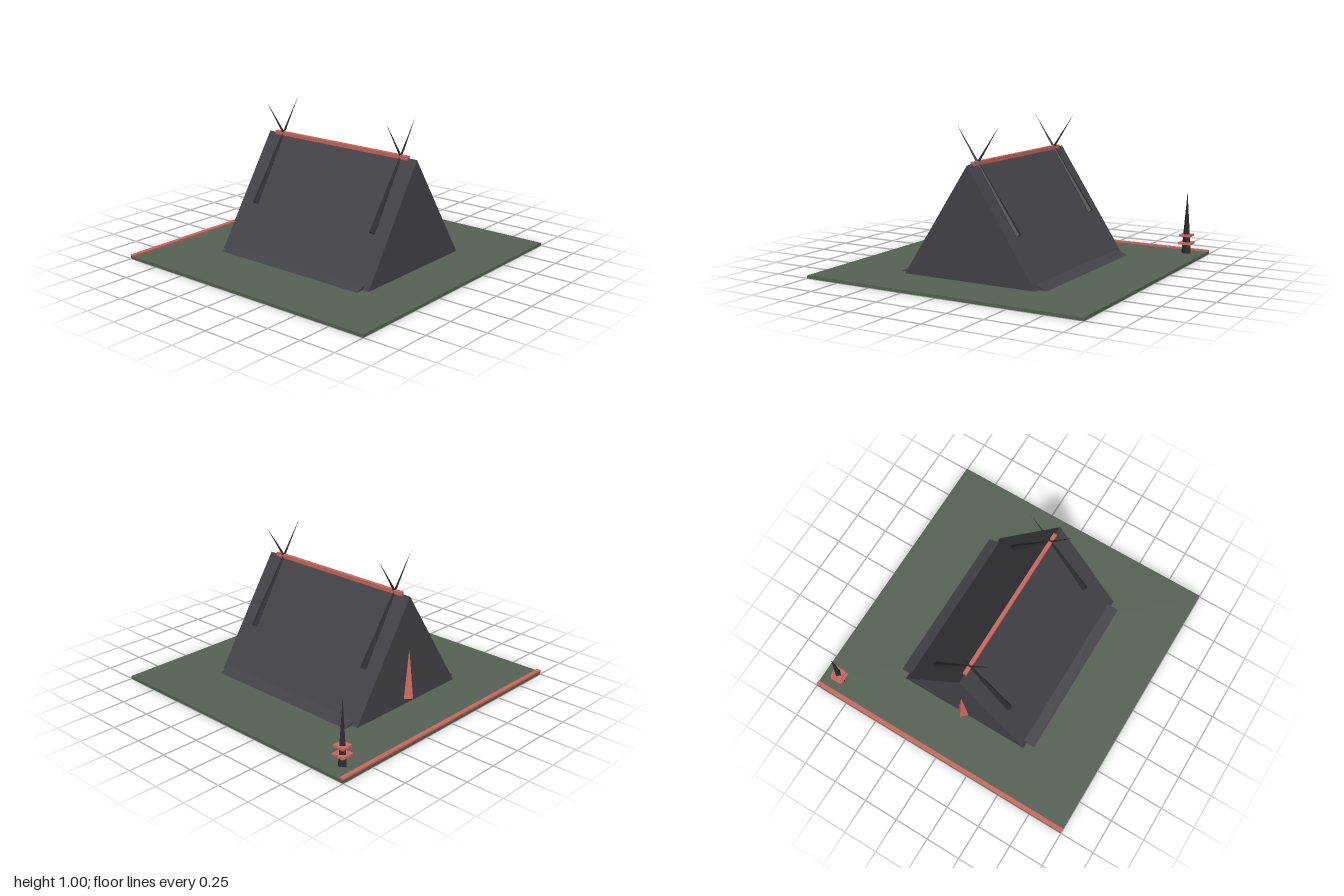
import * as THREE from 'three';

const mat = (name, color) => {
  const m = new THREE.MeshStandardMaterial({ color, flatShading: true });
  m.name = name;
  return m;
};

export function createModel() {
  const group = new THREE.Group();
  group.name = 'tentCamp';
  const grass = mat('mossGreen', 0x566154);
  const canvas = mat('charcoalCanvas', 0x434247);
  const dark = mat('darkWood', 0x2a2b2d);
  const red = mat('coralRed', 0xc8685e);

  const add = (name, geo, material, x = 0, y = 0, z = 0) => {
    const mesh = new THREE.Mesh(geo, material);
    mesh.name = name;
    mesh.position.set(x, y, z);
    group.add(mesh);
    return mesh;
  };

  // Solid with a constant x-y cross-section, centred along z
  const prism = (points, depth) => {
    const shape = new THREE.Shape(points.map(([x, y]) => new THREE.Vector2(x, y)));
    return new THREE.ExtrudeGeometry(shape, { depth, bevelEnabled: false }).translate(0, 0, -depth / 2);
  };

  // Ground slab with its rear border
  add('ground', new THREE.BoxGeometry(2, 0.02, 2), grass, 0, 0.01, 0);
  add('rearBorder', new THREE.BoxGeometry(2, 0.012, 0.03), red, 0, 0.025, -0.985);

  // Tent body and ridge beam
  add('tentBody', prism([[-0.485, 0.02], [0.485, 0.02], [0, 0.762]], 1.268), canvas);
  add('ridgeBeam', new THREE.BoxGeometry(0.026, 0.026, 1.14), red, 0, 0.763, 0);

  // Ground skirts along both long sides, and crossed poles at both ends
  for (const side of [-1, 1]) {
    const skirt = [[0.44, 0.021], [0.545, 0.021], [0.465, 0.052]];
    const points = side > 0 ? skirt : skirt.map(([x, y]) => [-x, y]).reverse();
    add(side > 0 ? 'leftSkirt' : 'rightSkirt', prism(points, 1.18), canvas);

    for (const z of [-0.507, 0.507]) {
      const foot = new THREE.Vector3(side * 0.292, 0.322, z);
      const tip = new THREE.Vector3(side * -0.155, 1, z);
      const direction = tip.clone().sub(foot);
      const pole = add('crossedPole', new THREE.ConeGeometry(0.023, direction.length(), 6), dark);
      pole.position.copy(foot).lerp(tip, 0.5);
      pole.quaternion.setFromUnitVectors(new THREE.Vector3(0, 1, 0), direction.normalize());
    }
  }

  // Pointed door flap on the rear wall
  add('rearDoorFlap', new THREE.ConeGeometry(0.042, 0.342, 4), red, 0, 0.235, -0.64);

  // Corner spike with two square collars
  add('cornerSpike', new THREE.ConeGeometry(0.035, 0.44, 4), dark, 0.875, 0.24, -0.877);
  add('lowerCollar', new THREE.BoxGeometry(0.09, 0.014, 0.09), red, 0.875, 0.092, -0.877);
  add('upperCollar', new THREE.BoxGeometry(0.08, 0.014, 0.08), red, 0.875, 0.148, -0.877);

  return group;
}
